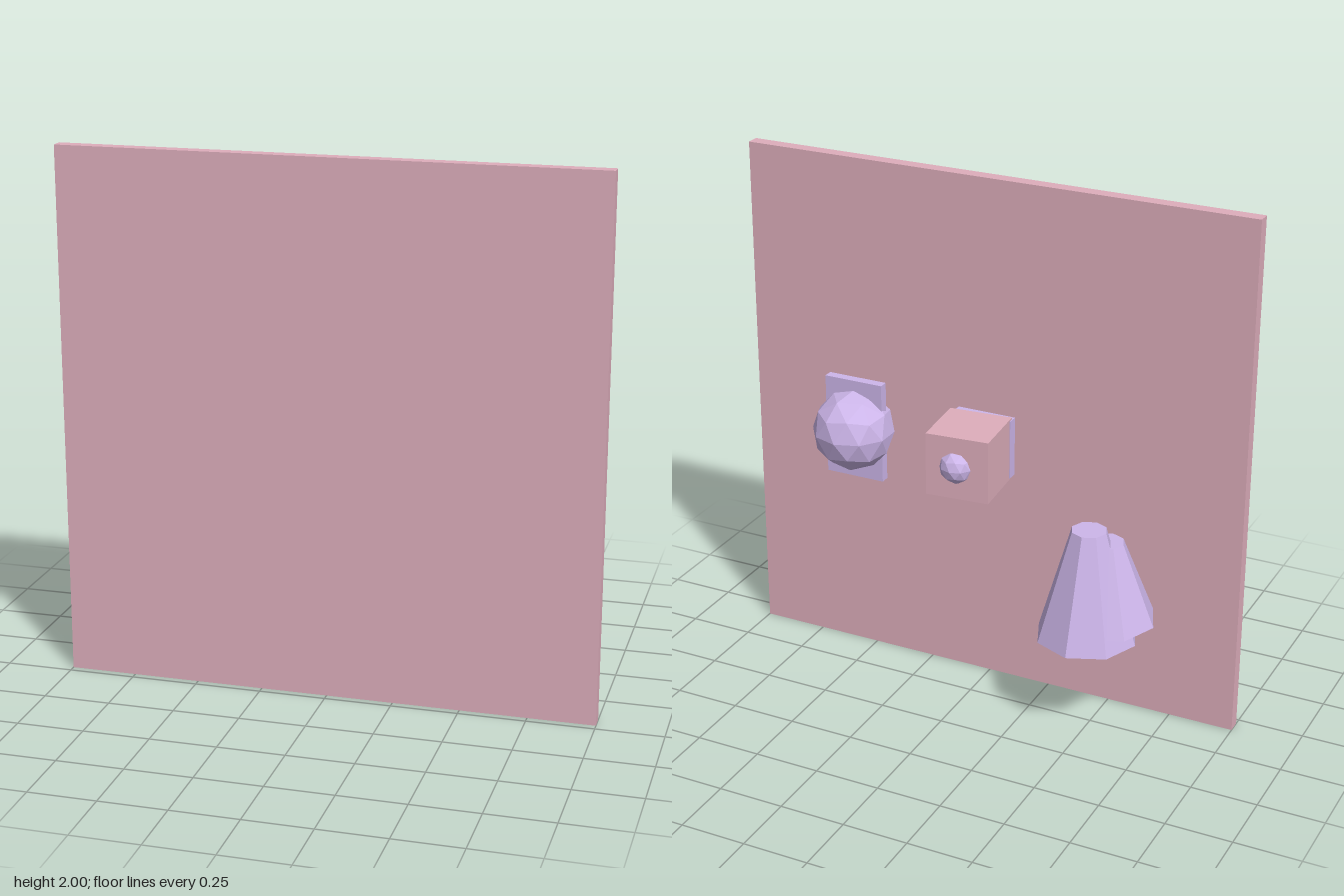
import * as THREE from 'three';

const pink = new THREE.MeshStandardMaterial({ color: 0xdeaebc, flatShading: true });
const lilac = new THREE.MeshStandardMaterial({ color: 0xcdb6ea, flatShading: true });

function add(parent, name, geometry, material, x, y, z) {
  const mesh = new THREE.Mesh(geometry, material);
  mesh.name = name;
  mesh.position.set(x, y, z);
  parent.add(mesh);
  return mesh;
}

// Faceted ball with one vertex straight up
function facetedBall(radius) {
  return new THREE.IcosahedronGeometry(radius, 1)
    .rotateX(-Math.atan((1 + Math.sqrt(5)) / 2))
    .rotateY(Math.PI / 2);
}

export function createModel() {
  const model = new THREE.Group();
  model.name = 'panelWithShapes';

  // Large square panel at the front
  add(model, 'panel', new THREE.BoxGeometry(2, 2, 0.05), pink, 0, 1, 0.197);

  // Ball with an upright plate through it
  const ballGroup = new THREE.Group();
  ballGroup.name = 'ballWithPlate';
  add(ballGroup, 'ball', facetedBall(0.155), lilac, 0.487, 1.003, 0);
  add(ballGroup, 'ballPlate', new THREE.BoxGeometry(0.235, 0.39, 0.036), lilac, 0.487, 1.003, 0.022);
  model.add(ballGroup);

  // Slightly turned cube with a plate in front and a knob behind
  const cubeGroup = new THREE.Group();
  cubeGroup.name = 'cubeWithKnob';
  const cube = add(cubeGroup, 'cube', new THREE.BoxGeometry(0.242, 0.242, 0.242), pink, 0, 1, -0.012);
  cube.rotation.y = 0.085;
  add(cubeGroup, 'cubePlate', new THREE.BoxGeometry(0.23, 0.23, 0.04), lilac, 0, 1, 0.115);
  add(cubeGroup, 'knob', facetedBall(0.066), lilac, 0, 1, -0.109);
  model.add(cubeGroup);

  // Two overlapping eight-sided cones with flat tops
  const cones = new THREE.Group();
  cones.name = 'cones';
  add(cones, 'tallCone', new THREE.CylinderGeometry(0.067, 0.192, 0.43, 8), lilac, -0.49, 0.6, -0.031);
  add(cones, 'shortCone', new THREE.CylinderGeometry(0.067, 0.194, 0.31, 8), lilac, -0.538, 0.603, 0.017);
  model.add(cones);

  return model;
}
